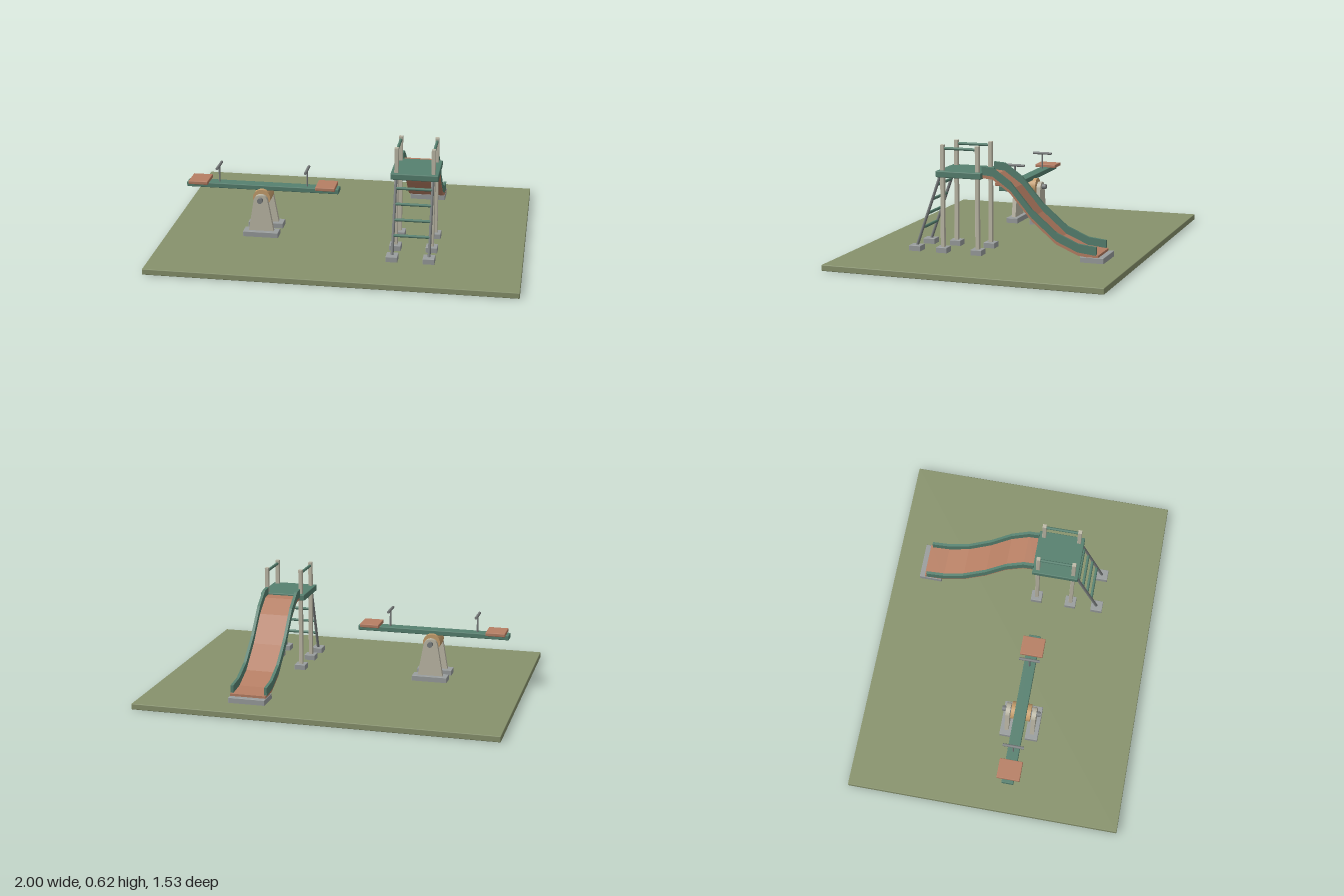
import * as THREE from 'three';
import { RoundedBoxGeometry } from 'three/addons/geometries/RoundedBoxGeometry.js';

const mat = (color) => new THREE.MeshStandardMaterial({ color });
const M = {
  grass: mat(0x87926c), teal: mat(0x56806f), brick: mat(0xb67e63), tan: mat(0xc8a06e),
  post: mat(0xbebaa8), concrete: mat(0x999d9d), steel: mat(0x7c8080),
};

export function createModel() {
  const model = new THREE.Group();
  model.name = 'playground';

  const group = (name) => {
    const g = new THREE.Group();
    g.name = name;
    model.add(g);
    return g;
  };
  const add = (parent, name, geometry, material) => {
    const mesh = new THREE.Mesh(geometry, material);
    mesh.name = name;
    parent.add(mesh);
    return mesh;
  };
  // Softly bevelled block given by its extents on each axis
  const block = (parent, name, material, [x0, x1], [y0, y1], [z0, z1], bevel = 0.003) => {
    const geo = new RoundedBoxGeometry(x1 - x0, y1 - y0, z1 - z0, 2, bevel);
    add(parent, name, geo, material).position.set((x0 + x1) / 2, (y0 + y1) / 2, (z0 + z1) / 2);
  };
  // Round bar between two points
  const bar = (parent, name, material, a, b, radius, sides = 16) => {
    const p = new THREE.Vector3(...a), q = new THREE.Vector3(...b);
    const dir = q.clone().sub(p);
    const mesh = add(parent, name, new THREE.CylinderGeometry(radius, radius, dir.length(), sides), material);
    mesh.position.copy(p).add(q).multiplyScalar(0.5);
    mesh.quaternion.setFromUnitVectors(new THREE.Vector3(0, 1, 0), dir.normalize());
  };
  const around = (c, half) => [c - half, c + half];

  block(model, 'ground', M.grass, [-1, 1], [0, 0.033], [-0.765, 0.765], 0.004);

  // ---- Slide tower ----
  const tower = group('slideTower');
  block(tower, 'platform', M.teal, [0.27, 0.53], [0.445, 0.48], [0.055, 0.315], 0.005);
  for (const x of [0.3, 0.5]) {
    for (const z of [0.085, 0.285]) {
      block(tower, 'post', M.post, around(x, 0.011), [0.05, 0.62], around(z, 0.011), 0.002);
      block(tower, 'postFoot', M.concrete, around(x, 0.032), [0.03, 0.063], around(z, 0.032));
    }
    bar(tower, 'handRail', M.teal, [x, 0.6, 0.085], [x, 0.6, 0.285], 0.008);
  }

  // ---- Ladder ----
  const ladder = group('ladder');
  for (const x of [0.3, 0.5]) {
    bar(ladder, 'ladderSide', M.steel, [x, 0.055, 0.44], [x, 0.45, 0.3], 0.008);
    block(ladder, 'ladderFoot', M.concrete, around(x, 0.032), [0.03, 0.063], around(0.441, 0.034));
  }
  for (const y of [0.16, 0.24, 0.32, 0.4]) {
    const z = 0.44 - (0.14 * (y - 0.055)) / 0.395;
    bar(ladder, 'rung', M.teal, [0.3, y, z], [0.5, y, z], 0.008);
  }

  // ---- Slide: a strip following the chute line, [distance back, underside height] ----
  const slide = group('slide');
  const line = [[-0.06, 0.45], [0, 0.445], [0.1, 0.375], [0.22, 0.235], [0.355, 0.12], [0.475, 0.068], [0.575, 0.057]];
  const strip = (name, material, path, low, high, x0, x1) => {
    const corners = [
      ...path.map(([u, y]) => new THREE.Vector2(u, y + low)),
      ...path.map(([u, y]) => new THREE.Vector2(u, y + high)).reverse(),
    ];
    const geo = new THREE.ExtrudeGeometry(new THREE.Shape(corners), { depth: x1 - x0, bevelEnabled: false });
    geo.rotateY(Math.PI / 2);
    add(slide, name, geo, material).position.x = x0;
  };
  strip('chute', M.brick, [...line.slice(0, -1), [0.587, 0.056]], 0, 0.02, 0.3, 0.5);
  strip('chuteRail', M.teal, line, 0.017, 0.062, 0.296, 0.312);
  strip('chuteRail', M.teal, line, 0.017, 0.062, 0.485, 0.501);
  block(slide, 'slideFoot', M.concrete, [0.296, 0.502], [0.03, 0.063], [-0.617, -0.487]);

  // ---- Seesaw ----
  const seesaw = group('seesaw');
  const cx = -0.468, cz = 0.13, axleY = 0.247;

  // Tapered side plate with a round top
  const plate = new THREE.Shape();
  plate.moveTo(-0.073, 0.05);
  plate.lineTo(0.073, 0.05);
  plate.lineTo(0.04, axleY - 0.008);
  plate.absarc(0, axleY - 0.012, 0.04, 0.1, Math.PI - 0.1, false);
  plate.closePath();
  const plateGeo = new THREE.ExtrudeGeometry(plate, { depth: 0.024, bevelEnabled: false, curveSegments: 16 });
  for (const side of [-1, 1]) {
    const z = cz + side * 0.073;
    add(seesaw, 'supportPlate', plateGeo, M.post).position.set(cx, 0, z - 0.012);
    block(seesaw, 'supportFoot', M.concrete, around(cx, 0.1), [0.03, 0.063], around(z, 0.036));
  }
  bar(seesaw, 'axle', M.steel, [cx, axleY, cz - 0.108], [cx, axleY, cz + 0.108], 0.015, 24);
  bar(seesaw, 'pivotDrum', M.tan, [cx, axleY, cz - 0.055], [cx, axleY, cz + 0.055], 0.049, 32);
  block(seesaw, 'board', M.teal, [cx - 0.432, cx + 0.432], [0.285, 0.313], around(cz, 0.033), 0.004);

  for (const side of [-1, 1]) {
    const seatX = cx + side * 0.36, handleX = cx + side * 0.25;
    block(seesaw, 'seat', M.brick, around(seatX, 0.055), [0.31, 0.33], around(cz, 0.064), 0.004);
    bar(seesaw, 'handleStem', M.steel, [handleX, 0.3, cz], [handleX, 0.41, cz], 0.005);
    bar(seesaw, 'handleGrip', M.steel, [handleX, 0.408, cz - 0.058], [handleX, 0.408, cz + 0.058], 0.008);
  }

  return model;
}
